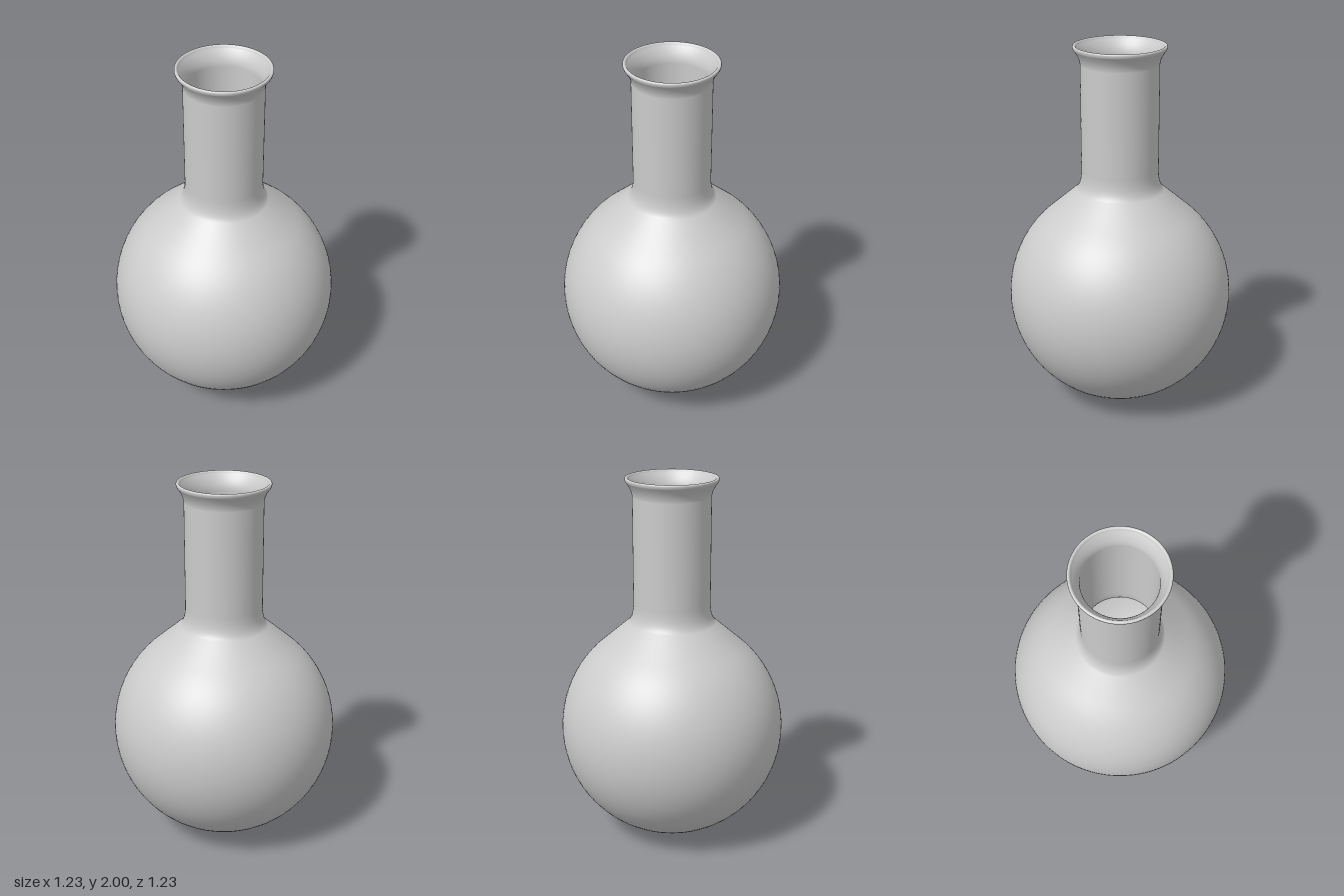
import * as THREE from 'three';

const BULB = 0.613;      // outer bulb radius, also the height of its centre
const WALL = 0.019;      // glass thickness
const NECK = 0.208;      // outer neck radius
const SHOULDER = THREE.MathUtils.degToRad(51); // where the bulb blends into the shoulder

export function createModel() {
  const group = new THREE.Group();
  group.name = 'roundBottomFlask';

  const path = new THREE.Path();

  // Outer wall, from the base upwards: bulb, shoulder, neck, flared lip
  path.absarc(0, BULB, BULB, -Math.PI / 2, SHOULDER, false);
  path.lineTo(0.24, 1.215);
  path.quadraticCurveTo(NECK, 1.243, NECK, 1.33);
  path.lineTo(NECK, 1.9);
  path.quadraticCurveTo(0.21, 1.935, 0.243, 1.978);

  // Rounded rim
  path.quadraticCurveTo(0.252, 1.999, 0.238, 2);
  path.quadraticCurveTo(0.231, 2, 0.226, 1.988);

  // Inner wall, back down to the base
  const inner = NECK - WALL;
  path.quadraticCurveTo(inner, 1.94, inner, 1.9);
  path.lineTo(inner, 1.33);
  path.quadraticCurveTo(inner, 1.235, 0.228, 1.2);
  path.absarc(0, BULB, BULB - WALL, SHOULDER, -Math.PI / 2, true);

  const profile = path.getPoints(16);
  profile[0].x = 0;
  profile[profile.length - 1].x = 0;

  const flask = new THREE.Mesh(
    new THREE.LatheGeometry(profile, 96),
    new THREE.MeshStandardMaterial({ color: 0xcccccc, side: THREE.DoubleSide })
  );
  flask.name = 'flaskBody';
  group.add(flask);

  return group;
}
